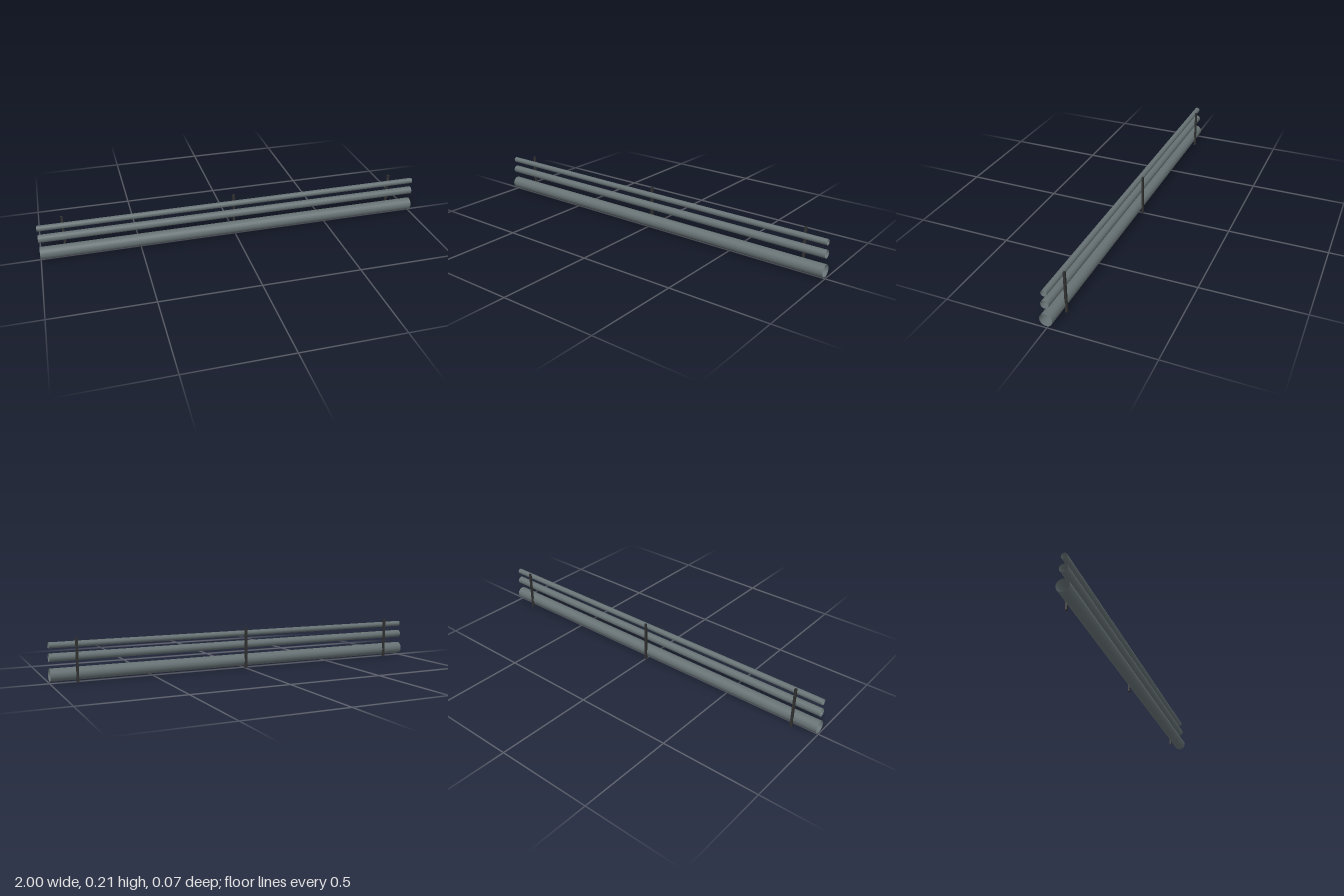
import * as THREE from 'three';

export function createModel() {
  const model = new THREE.Group();
  const pipeMaterial = new THREE.MeshStandardMaterial({ color: 0x667173, side: THREE.DoubleSide });
  pipeMaterial.name = 'grey pipe metal';
  const postMaterial = new THREE.MeshStandardMaterial({ color: 0x303030 });
  postMaterial.name = 'dark bracket metal';

  // Three open-ended horizontal pipes, thickest at the bottom
  const pipes = [
    ['lowerPipe', 0.031, 0.04],
    ['middlePipe', 0.02, 0.122],
    ['upperPipe', 0.0145, 0.18],
  ];
  for (const [name, radius, y] of pipes) {
    const geometry = new THREE.CylinderGeometry(radius, radius, 2, 24, 1, true);
    geometry.rotateZ(Math.PI / 2);
    const pipe = new THREE.Mesh(geometry, pipeMaterial);
    pipe.name = name;
    pipe.position.set(0, y, 0.003);
    model.add(pipe);
  }

  // Upright brackets behind the pipes
  const height = 0.213;
  const postGeometry = new THREE.BoxGeometry(0.011, height, 0.01);
  [-0.875, 0, 0.875].forEach((x, i) => {
    const post = new THREE.Mesh(postGeometry, postMaterial);
    post.name = ['rightBracket', 'middleBracket', 'leftBracket'][i];
    post.position.set(x, height / 2, -0.029);
    model.add(post);
  });

  return model;
}
